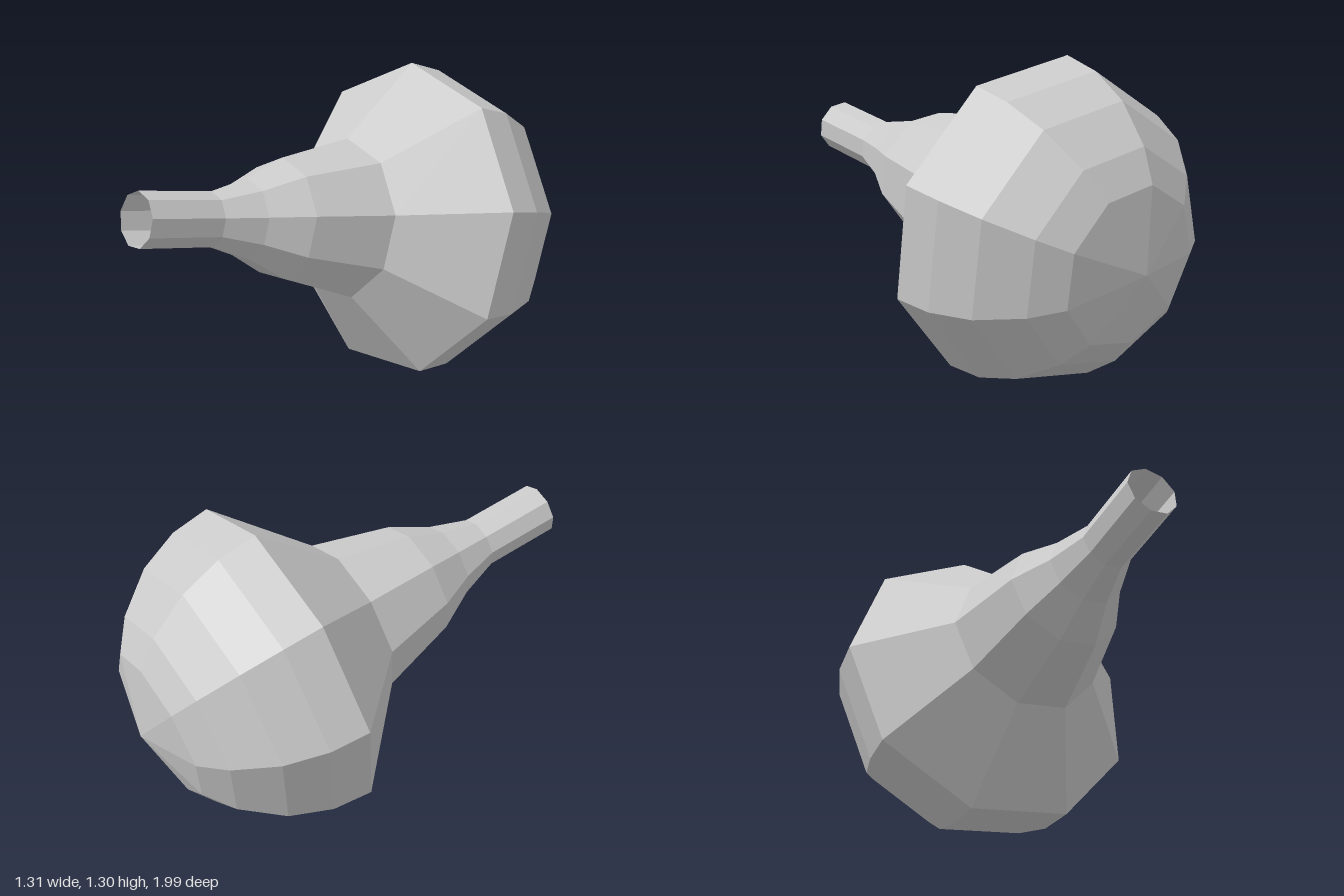
import * as THREE from 'three';

const SIDES = 9;
const PHASE = THREE.MathUtils.degToRad(106.5);
const R = 0.67; // radius of the round end

const material = new THREE.MeshStandardMaterial({
  color: 0xcccccc, flatShading: true, side: THREE.DoubleSide,
});

// Turned part from [radius, distance along the axis] pairs
function turned(name, profile) {
  const points = profile.map(([r, t]) => new THREE.Vector2(r, t));
  const mesh = new THREE.Mesh(new THREE.LatheGeometry(points, SIDES, PHASE), material);
  mesh.name = name;
  return mesh;
}

export function createModel() {
  const model = new THREE.Group();
  model.name = 'bulbFlask';

  // Everything is turned about one axis, tipped up at the front
  const body = new THREE.Group();
  body.name = 'body';
  body.rotation.order = 'YXZ';
  body.rotation.set(THREE.MathUtils.degToRad(90 - 12.3), 0.018, 0);
  body.position.set(0.01, 0.658, -0.34);
  model.add(body);

  // Round back half, from the pole to the widest ring
  const dome = [90, 61, 48.2, 30.5, 14.5, 0].map((deg) => {
    const a = THREE.MathUtils.degToRad(deg);
    return [deg === 90 ? 0 : R * Math.cos(a), -R * Math.sin(a)];
  });
  body.add(turned('dome', dome));

  // Cone narrowing from the widest ring to the neck
  body.add(turned('shoulder', [[R, 0], [0.335, 0.33]]));

  // Neck tapering to the open spout
  body.add(turned('neck', [[0.335, 0.33], [0.248, 0.67], [0.163, 0.84], [0.11, 1.01]]));
  body.add(turned('spout', [[0.11, 1.01], [0.11, 1.345]]));

  return model;
}
